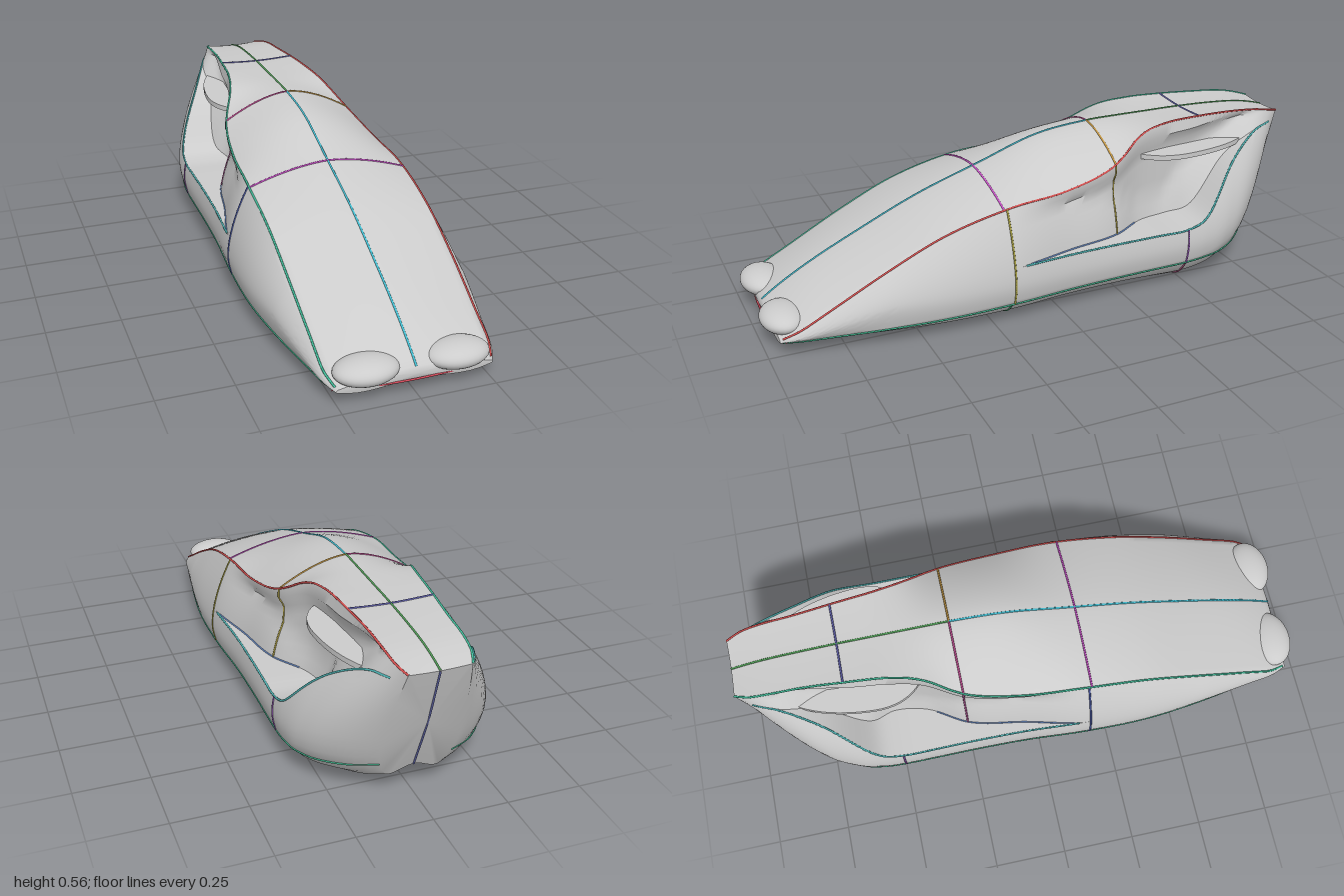
import * as THREE from 'three';
import { toCreasedNormals } from 'three/addons/utils/BufferGeometryUtils.js';

// Stations along the body, rear to nose:
// z, half width, sill y, underside y, shoulder x, shoulder y, roof y, ledge y, recess depth
const stations = [
  [-1.0, 0.13, 0.13, 0.07, 0.10, 0.515, 0.51, 0.49, 0],
  [-0.96, 0.20, 0.115, 0.055, 0.115, 0.525, 0.52, 0.485, 0],
  [-0.88, 0.275, 0.10, 0.04, 0.125, 0.54, 0.535, 0.475, 0.005],
  [-0.76, 0.32, 0.09, 0.02, 0.13, 0.55, 0.545, 0.40, 0.07],
  [-0.6, 0.34, 0.085, 0.005, 0.145, 0.556, 0.55, 0.24, 0.13],
  [-0.5, 0.343, 0.08, 0.0, 0.155, 0.555, 0.55, 0.21, 0.17],
  [-0.38, 0.343, 0.078, 0.005, 0.18, 0.535, 0.55, 0.208, 0.15],
  [-0.25, 0.342, 0.075, 0.01, 0.235, 0.46, 0.548, 0.207, 0.075],
  [-0.05, 0.345, 0.07, 0.008, 0.268, 0.41, 0.525, 0.205, 0.035],
  [0.16, 0.357, 0.065, 0.0, 0.28, 0.39, 0.455, 0.20, 0],
  [0.4, 0.357, 0.06, 0.003, 0.28, 0.33, 0.372, 0.18, 0],
  [0.6, 0.335, 0.055, 0.01, 0.278, 0.24, 0.283, 0.14, 0],
  [0.8, 0.30, 0.05, 0.017, 0.273, 0.135, 0.185, 0.09, 0],
  [0.91, 0.278, 0.047, 0.024, 0.268, 0.078, 0.12, 0.062, 0],
  [0.96, 0.255, 0.043, 0.032, 0.25, 0.055, 0.085, 0.049, 0],
];
const spline = new THREE.CubicInterpolant(
  stations.map(r => r[0]), stations.flatMap(r => r.slice(1)), 8, new Float32Array(8));

const NB = 8, NF = 9, NI = 8, NR = 12;           // points per zone of a half section
const SILL = NB, LEDGE = NB + NF, INNER = LEDGE + 1, SHOULDER = INNER + NI, CROWN = SHOULDER + NR;
const lerp = THREE.MathUtils.lerp;

// Half cross-section from the keel round the left side to the crown
function halfSection(s) {
  const [hw, sillY, low, shX, shY, roofY, ledgeY, d] = spline.evaluate(s);
  const depth = Math.max(0, d), sillX = hw - 0.012, pts = [];
  const wideY = sillY + Math.min(0.07, (shY - sillY) * 0.4);
  const flankX = y => {
    if (y < wideY) return lerp(sillX, hw, Math.sin((y - sillY) / (wideY - sillY) * Math.PI / 2));
    const t = Math.min(1, (y - wideY) / (shY - wideY));
    return lerp(shX, hw, 1 - Math.pow(t, 1.7));
  };
  // underside with a shallow central tunnel
  for (let i = 0; i < NB; i++) {
    const u = i / NB;
    const tunnel = Math.min(0.028, sillY - low) * Math.pow(Math.cos(Math.min(1, u / 0.68) * Math.PI / 2), 2);
    const rise = (sillY - low) * Math.pow(Math.max(0, (u - 0.68) / 0.32), 2);
    pts.push([sillX * u, low + tunnel + rise]);
  }
  // outer flank
  for (let i = 0; i <= NF; i++) {
    const y = lerp(sillY, ledgeY, i / NF);
    pts.push([flankX(y), y]);
  }
  // recessed wall above the ledge
  for (let i = 0; i < NI; i++) {
    const t = i / NI, y = lerp(ledgeY, shY, t);
    pts.push([flankX(y) - Math.min(depth, flankX(y) - shX + 0.015) * Math.min(1, (1 - t) * 4), y]);
  }
  // roof
  for (let i = 0; i <= NR; i++) {
    const u = 1 - i / NR;
    pts.push([shX * u, lerp(shY, roofY, 1 - Math.pow(u, 1.7))]);
  }
  // the tail leans forward toward its foot
  const lean = 0.37 * THREE.MathUtils.smoothstep(-s, 0.45, 0.95);
  return pts.map(([x, y]) => new THREE.Vector3(x, y, s + lean * (0.52 - y)));
}

const mirrored = v => new THREE.Vector3(-v.x, v.y, v.z);

function bodyGeometry() {
  const pos = [], idx = [], rows = 110;
  let n = 0;
  const ends = [];
  for (let r = 0; r <= rows; r++) {
    const half = halfSection(lerp(-1, 0.96, r / rows));
    const ring = [...half, ...half.slice(1, -1).reverse().map(mirrored)];
    n = ring.length;
    ring.forEach(v => pos.push(v.x, v.y, v.z));
    if (r === 0 || r === rows) {
      ends.push(half[0].clone().add(half[CROWN]).multiplyScalar(0.5));
    }
    if (r < rows) for (let i = 0; i < n; i++) {
      const a = r * n + i, b = r * n + (i + 1) % n;
      idx.push(a, b, a + n, b, b + n, a + n);
    }
  }
  // tail and nose caps
  const tail = (rows + 1) * n, nose = tail + 1;
  ends[0].z -= 0.012;
  ends[1].z += 0.008;
  ends.forEach(v => pos.push(v.x, v.y, v.z));
  for (let i = 0; i < n; i++) {
    const j = (i + 1) % n;
    idx.push(tail, j, i, nose, rows * n + i, rows * n + j);
  }
  const g = new THREE.BufferGeometry();
  g.setAttribute('position', new THREE.Float32BufferAttribute(pos, 3));
  g.setIndex(idx);
  return toCreasedNormals(g, 0.7);
}

export function createModel() {
  const model = new THREE.Group();
  const grey = new THREE.MeshStandardMaterial({ color: 0xcccccc, side: THREE.DoubleSide });
  const add = (name, geometry, material = grey) => {
    const mesh = new THREE.Mesh(geometry, material);
    mesh.name = name;
    model.add(mesh);
    return mesh;
  };
  add('body', bodyGeometry());

  // Headlight bulges and the blade dividing each side intake
  for (const side of [1, -1]) {
    const lamp = add('headlightBulge', new THREE.SphereGeometry(1, 32, 20));
    lamp.scale.set(0.105, 0.042, 0.075);
    lamp.position.set(side * 0.148, 0.086, 0.925);

    const blade = new THREE.Shape();
    blade.moveTo(0.12, 0.36);
    blade.quadraticCurveTo(0.235, 0.42, 0.225, 0.56);
    blade.quadraticCurveTo(0.215, 0.72, 0.15, 0.82);
    blade.lineTo(0.10, 0.82);
    const g = new THREE.ExtrudeGeometry(blade, { depth: 0.018, bevelEnabled: false, curveSegments: 10 });
    g.rotateX(-Math.PI / 2);
    const m = add('intakeBlade', g);
    m.position.y = 0.435;
    m.scale.x = side;
  }

  // Coloured seam lines laid on the surface
  const seam = (name, points, color) => add(name,
    new THREE.TubeGeometry(new THREE.CatmullRomCurve3(points), points.length * 2, 0.0035, 6),
    new THREE.MeshStandardMaterial({ color }));
  const along = (index, from, to, count = 36) => Array.from({ length: count + 1 },
    (_, i) => halfSection(lerp(from, to, i / count))[index]);
  const across = (s, from, to) => halfSection(s).slice(from, to + 1);

  seam('centreSeamFront', along(CROWN, -0.25, 0.96), 0x45c4d8);
  seam('centreSeamRear', along(CROWN, -1, -0.25), 0x4f9a55);
  seam('keelSeam', along(0, -1, 0.96), 0x5058b0);
  seam('tailSeam', [0, 0.2, 0.4, 0.6, 0.8, 1].map(t => {
    const h = halfSection(-1);
    const v = h[0].clone().lerp(h[CROWN], t);
    v.z -= 0.012 * (1 - Math.abs(2 * t - 1));
    return v;
  }), 0x5a5f9c);

  for (const side of [1, -1]) {
    const flip = pts => side > 0 ? pts : pts.map(mirrored);
    const left = side > 0;
    seam('shoulderSeam', flip(along(SHOULDER, -1, 0.95)), left ? 0xd85050 : 0x45c4a0);
    seam('sillSeam', flip(along(SILL, -1, 0.95)), 0x3fae88);
    seam('ledgeSeam', flip(along(LEDGE, -0.96, 0.14)), 0x4fb5b5);
    seam('ledgeInnerSeam', flip(along(INNER, -0.35, 0.12)), 0x5f80b8);
    seam('windscreenSeam', flip(across(0.19, SHOULDER, CROWN)), 0xc850c8);
    seam('roofSeam', flip(across(-0.25, SHOULDER, CROWN)), left ? 0xc89a45 : 0xc85098);
    seam('rearDeckSeam', flip(across(-0.63, SHOULDER, CROWN)), 0x6868b8);
    seam('doorFrontSeam', flip(across(0.18, SILL, LEDGE).concat(across(0.18, INNER + 1, SHOULDER))),
      left ? 0xa8a045 : 0x5060b0);
    seam('doorRearSeam', flip(across(-0.25, INNER, SHOULDER)), left ? 0xa89a45 : 0xa05088);
    seam('lowerRearSeam', flip(across(-0.5, SILL, LEDGE)), 0x8a55a8);
    seam('floorFrontSeam', flip(across(0.19, 0, SILL)), 0x45a070);
    seam('floorRearSeam', flip(across(-0.5, 0, SILL)), 0xa04f78);
  }
  // lower nose edge
  seam('noseSeam', [-0.262, -0.13, 0, 0.13, 0.262].map(x => new THREE.Vector3(x, 0.045, 0.966 - x * x * 0.4)), 0xd04a5a);
  return model;
}
